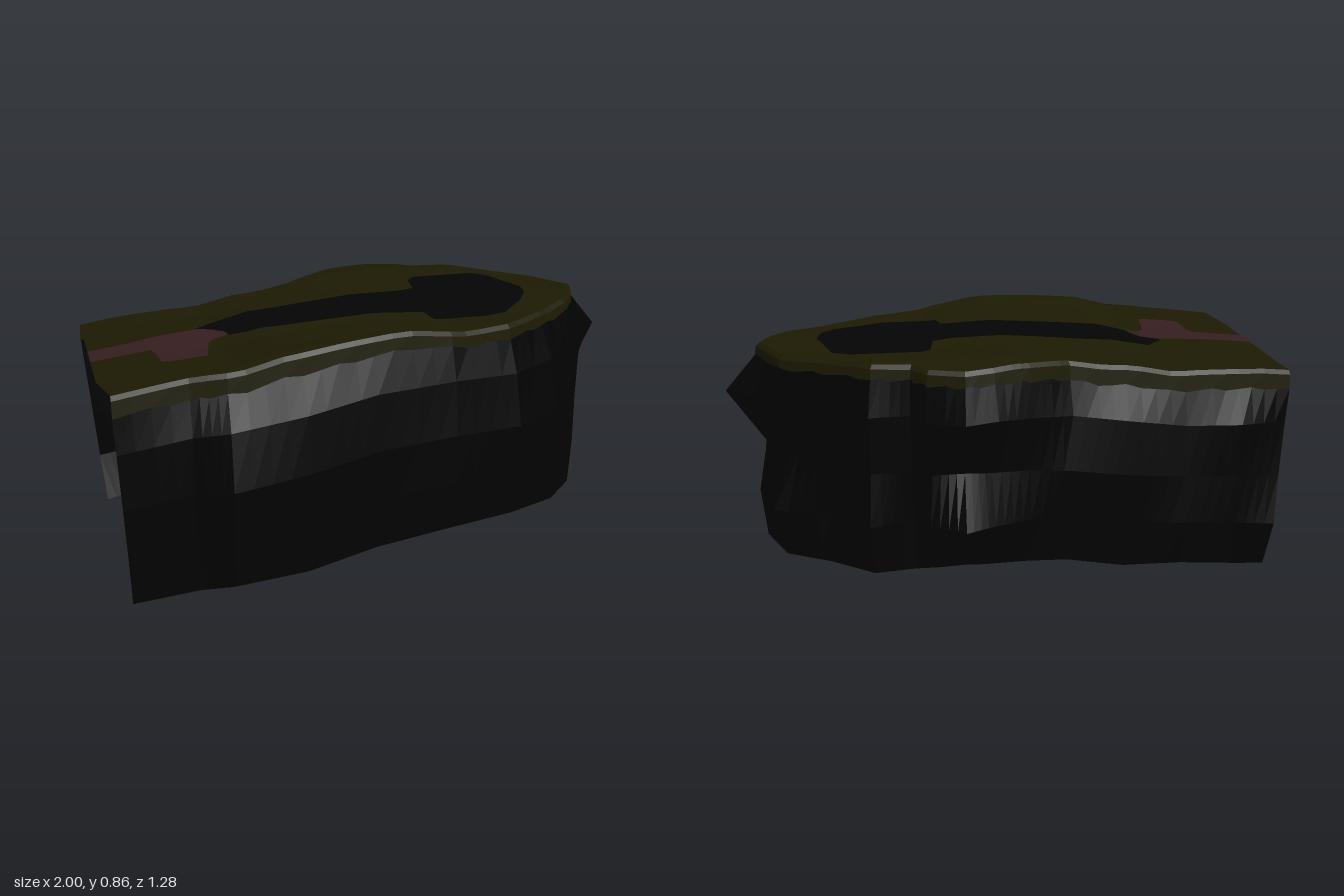
import * as THREE from 'three';

const material = (name, color) => Object.assign(
  new THREE.MeshStandardMaterial({ color, flatShading: true, side: THREE.DoubleSide }), { name });

// Piecewise linear lookup through [position, value] pairs
function lerpAt(pairs, p) {
  if (p <= pairs[0][0]) return pairs[0][1];
  for (let i = 1; i < pairs.length; i++) {
    const [a, va] = pairs[i - 1], [b, vb] = pairs[i];
    if (p <= b) return va + (vb - va) * (p - a) / Math.max(b - a, 1e-6);
  }
  return pairs[pairs.length - 1][1];
}

// Ground height: a rise along x, a shallow dip across z, and sags along the back and front rims
const RISE = [[-1, .74], [-.8, .768], [-.65, .785], [-.55, .792], [-.4, .83], [-.2, .85], [0, .863], [.25, .86], [.9, .86]];
const DIP = [[-.6, -.015], [-.45, -.008], [-.25, -.025], [0, -.02], [.2, -.033], [.4, -.015], [.5, 0]];
const BACK_SAG = [[-.9, 0], [-.6, -.018], [-.3, -.028], [-.1, -.01], [.05, 0]];
const FRONT_SAG = [[.05, 0], [.25, -.022], [.5, -.022], [.8, 0]];
const height = (x, z) => lerpAt(RISE, x) + lerpAt(DIP, z) * Math.min(1, x + 1.2)
  + lerpAt(z < 0 ? BACK_SAG : FRONT_SAG, x) * Math.min(1, Math.abs(z) / .4);
const FOOT = [[-.94, 0], [-.53, .06], [-.45, .055], [-.2, .09], [0, .125], [.2, .12], [.45, .11], [.88, .1]];
const LIP_DEPTH = [[-.3, .068], [.2, .052], [.9, .045]];

// Cliff outline, from the open end along the back, round the tip and along the front
const OUTLINE = [
  [-1, -.37], [-.8, -.4], [-.6, -.42], [-.38, -.435], [-.18, -.45], [-.03, -.53], [.1, -.585], [.2, -.61],
  [.32, -.57], [.37, -.51], [.5, -.49], [.65, -.37], [.8, -.26], [.885, -.07], [.84, .03], [.77, .13],
  [.62, .25], [.45, .37], [.2, .46], [-.1, .52], [-.35, .56], [-.6, .565], [-.72, .545], [-.97, .56],
];
const LAST = OUTLINE.length - 1;

// How far the rock stands out from the outline at each level, one row per level
const LEVELS = [.82, .53, .26, 0];
const BULGE = [
  [.01, .05, .03, .05, .03, .02, .03, .03, .02, .01, .03, .0, .0, .115, .03, .04, .05, .04, .03, .04, .05, .05, .03, .01],
  [.03, .04, .04, .06, .05, .0, -.02, -.06, -.03, .0, .02, .02, -.02, -.02, .04, .06, .09, .07, .05, .05, .06, .08, .03, .01],
  [.06, .04, .05, .04, .02, .01, .01, .03, -.01, -.02, .04, -.01, .06, .015, .02, .06, .1, .07, .05, .04, .05, .05, .02, .0],
  [.015, .01, .02, .03, .0, -.03, -.08, -.11, -.08, -.02, .01, .0, .01, -.005, .02, .05, .08, .04, .03, .03, .03, .03, .01, -.03],
];

// Point on the outline moved outward by d
function offset(i, d) {
  const a = OUTLINE[Math.max(i - 1, 0)], b = OUTLINE[Math.min(i + 1, LAST)];
  const tx = b[0] - a[0], tz = b[1] - a[1], len = Math.hypot(tx, tz);
  const [x, z] = OUTLINE[i];
  return i === 0 || i === LAST ? [x, z + d * Math.sign(z)] : [x + d * tz / len, z - d * tx / len];
}

// Split each segment of a row of points into four
const densify = row => row.flatMap((p, i) => i === row.length - 1 ? [p]
  : [0, .25, .5, .75].map(t => p.map((v, k) => v + (row[i + 1][k] - v) * t)));

// Mesh from rows of points
function surface(name, rows, mat) {
  const n = rows[0].length, index = [];
  for (let r = 0; r < rows.length - 1; r++)
    for (let j = 0; j < n - 1; j++) {
      const a = r * n + j, b = a + 1, d = a + n, c = d + 1;
      index.push(a, b, c, a, c, d);
    }
  const indexed = new THREE.BufferGeometry();
  indexed.setAttribute('position', new THREE.Float32BufferAttribute(rows.flat(2), 3));
  indexed.setIndex(index);
  const geometry = indexed.toNonIndexed();
  geometry.computeVertexNormals();
  const mesh = new THREE.Mesh(geometry, mat);
  mesh.name = name;
  return mesh;
}

// Ground patch between a back edge and a front edge, laid on the hill
function drape(name, back, front, lift, mat) {
  const start = Math.min(back[0][0], front[0][0]);
  const end = Math.max(back[back.length - 1][0], front[front.length - 1][0]);
  const xs = [...back, ...front].map(p => p[0]);
  for (let k = -20; k <= 20; k++) if (k / 20 > start && k / 20 < end) xs.push(k / 20);
  const columns = [...new Set(xs)].sort((a, b) => a - b);
  const rows = columns.map(x => {
    const z0 = lerpAt(back, x), z1 = lerpAt(front, x);
    return Array.from({ length: 21 }, (_, j) => {
      const z = z0 + (z1 - z0) * j / 20;
      return [x, height(x, z) + lift, z];
    });
  });
  return surface(name, rows, mat);
}

export function createModel() {
  const grass = material('grass', 0x1c1a03);
  const rock = material('rock', 0x020202);
  const path = material('path', 0x040405);
  const clay = material('clay', 0x351e1f);
  const group = new THREE.Group();
  group.name = 'cliffPlateau';

  // Grassy top, cut at a slant on the open end
  const tip = 13;
  const corners = OUTLINE.map((_, i) => offset(i, -.015));
  const rim = densify(corners);
  group.add(drape('grassTop', rim.slice(0, tip * 4 + 1), [[-1, .37], ...rim.slice(tip * 4).reverse()], 0, grass));

  // Rounded grass lip hanging over the rock
  const lipRow = (out, depth) => densify(OUTLINE.map((_, i) => offset(i, out)))
    .map(([x, z], i) => [x, height(...rim[i]) - depth(x, i), z]);
  const lipBottom = lipRow(.004, (x, i) => lerpAt(LIP_DEPTH, x) + .005 * (i % 3 - 1));
  group.add(surface('grassLip', [lipRow(-.015, () => 0), lipRow(0, () => .014), lipBottom], grass));

  // Rock walls, open at one end and underneath
  const walls = LEVELS.map((f, r) => densify(OUTLINE.map((_, i) => {
    let [x, z] = offset(i, BULGE[r][i]);
    if (i === 0 || i === LAST) x += (-.94 - x) * (1 - f);
    const foot = lerpAt(FOOT, x);
    return [x, foot + (lipBottom[i * 4][1] - foot) * f, z];
  })));
  group.add(surface('rockWall', [lipBottom, ...walls], rock));

  // Dark path widening into a clearing
  group.add(drape('darkPath',
    [[-.61, -.03], [-.55, -.09], [-.4, -.11], [.02, -.12], [.2, -.13], [.26, -.16], [.28, -.28], [.31, -.32],
      [.56, -.32], [.62, -.27], [.64, -.18], [.66, -.1], [.667, -.07]],
    [[-.61, -.01], [-.55, .02], [-.52, .06], [-.51, .11], [-.45, .13], [-.3, .14], [.2, .15], [.21, .235],
      [.42, .235], [.5, .2], [.6, .1], [.65, .02], [.667, -.06]], .005, path));

  // Clay path with a side branch
  group.add(drape('clayPath',
    [[-1, .03], [-.85, .02], [-.75, 0], [-.6, -.015], [-.55, .02], [-.52, .07], [-.515, .1]],
    [[-1, .15], [-.79, .14], [-.78, .2], [-.775, .3], [-.75, .315], [-.62, .315], [-.61, .25], [-.59, .15],
      [-.57, .12], [-.515, .105]], .007, clay));

  return group;
}
